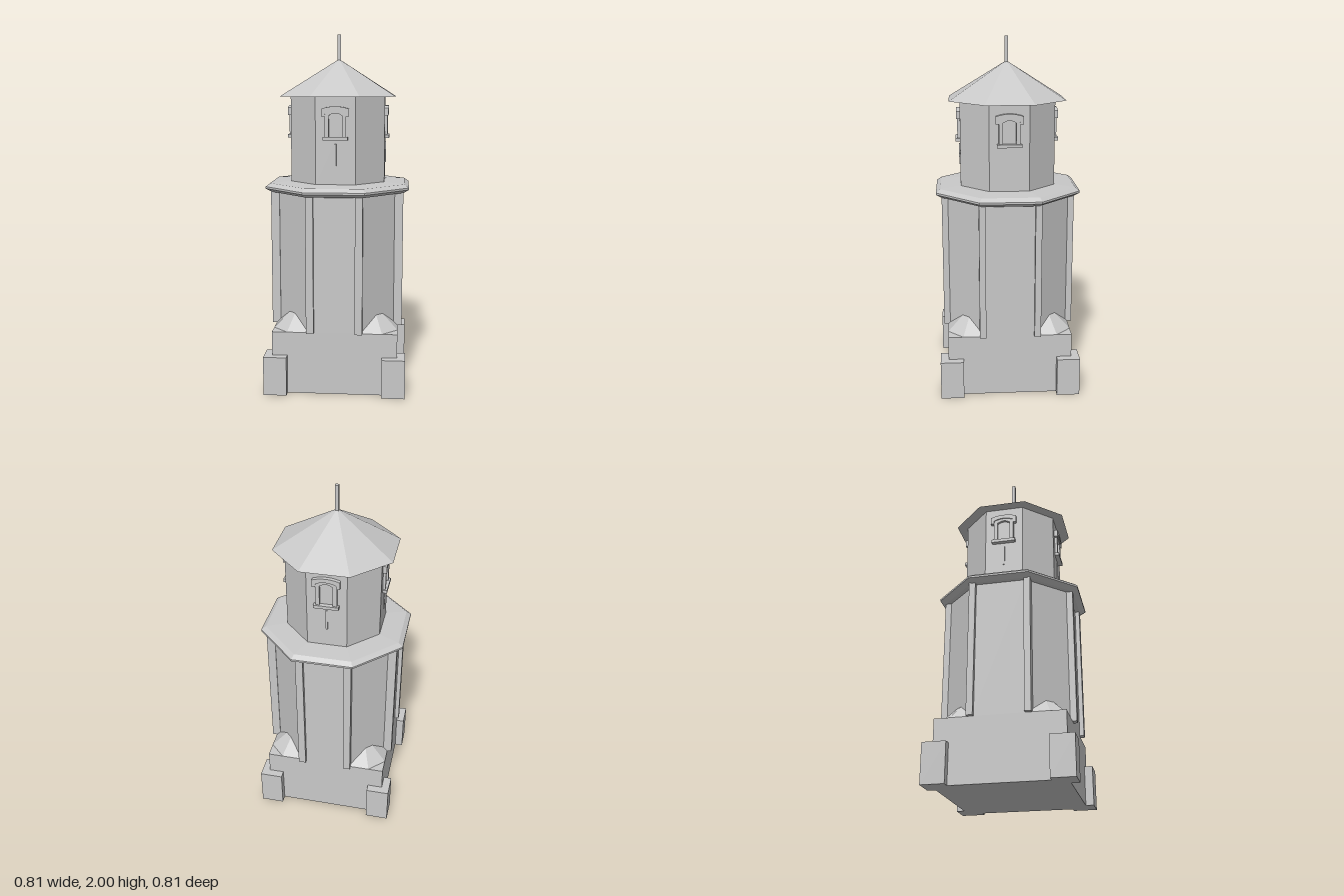
import * as THREE from 'three';
import { ConvexGeometry } from 'three/addons/geometries/ConvexGeometry.js';

const stone = new THREE.MeshStandardMaterial({ color: 0xc8c8c8 });
stone.name = 'stone';

function add(parent, name, geometry) {
  // split vertices so every facet is flat
  const g = geometry.index ? geometry.toNonIndexed() : geometry;
  g.computeVertexNormals();
  const mesh = new THREE.Mesh(g, stone);
  mesh.name = name;
  parent.add(mesh);
  return mesh;
}

// box from its minimum and maximum corners
function box(parent, name, a, b) {
  const g = new THREE.BoxGeometry(b[0] - a[0], b[1] - a[1], b[2] - a[2]);
  g.translate((a[0] + b[0]) / 2, (a[1] + b[1]) / 2, (a[2] + b[2]) / 2);
  return add(parent, name, g);
}

// eight-sided prism or cone with faces square to the axes
const corner = (apothem) => apothem / Math.cos(Math.PI / 8);
function octagon(parent, name, top, bottom, y0, y1) {
  const g = new THREE.CylinderGeometry(corner(top), corner(bottom), y1 - y0, 8, 1, false, Math.PI / 8);
  g.translate(0, (y0 + y1) / 2, 0);
  return add(parent, name, g);
}

function extrude(parent, name, shape, z, depth) {
  const g = new THREE.ExtrudeGeometry(shape, { depth, bevelEnabled: false, curveSegments: 6 });
  g.translate(0, 0, z);
  return add(parent, name, g);
}

// upright panel with a shallow arched head
function arched(path, w, y0, y1, rise) {
  path.moveTo(-w, y0);
  path.lineTo(w, y0);
  path.lineTo(w, y1);
  path.quadraticCurveTo(0, y1 + 2 * rise, -w, y1);
  path.lineTo(-w, y0);
  return path;
}

function makeWindow() {
  const group = new THREE.Group();
  group.name = 'window';
  const wall = 0.262;
  // jambs and head around the opening
  const frame = arched(new THREE.Shape(), 0.058, 1.43, 1.57, 0.015);
  frame.holes.push(arched(new THREE.Path(), 0.036, 1.44, 1.555, 0.013));
  extrude(group, 'windowFrame', frame, wall, 0.018);
  // arched hood
  const hood = new THREE.Shape();
  hood.moveTo(-0.075, 1.55);
  hood.lineTo(-0.058, 1.55);
  hood.lineTo(-0.055, 1.57);
  hood.quadraticCurveTo(0, 1.595, 0.055, 1.57);
  hood.lineTo(0.058, 1.55);
  hood.lineTo(0.075, 1.55);
  hood.lineTo(0.075, 1.592);
  hood.quadraticCurveTo(0, 1.618, -0.075, 1.592);
  extrude(group, 'windowHood', hood, wall, 0.024);
  box(group, 'windowSill', [-0.068, 1.422, wall], [0.068, 1.44, 0.29]);
  // narrow slit below
  box(group, 'slit', [-0.005, 1.28, wall], [0.005, 1.4, 0.271]);
  return group;
}

export function createModel() {
  const model = new THREE.Group();
  model.name = 'tower';

  // square base
  box(model, 'base', [-0.35, 0, -0.35], [0.35, 0.355, 0.35]);

  // corner blocks and sloped corner caps
  const cap = [
    [0.145, 0.355, 0.35], [0.265, 0.355, 0.35], [0.35, 0.355, 0.265], [0.35, 0.355, 0.145],
    [0.23, 0.44, 0.265], [0.265, 0.44, 0.23],
  ].map((p) => new THREE.Vector3(...p));
  for (let i = 0; i < 4; i++) {
    const group = new THREE.Group();
    group.name = 'baseCorner';
    group.rotation.y = (i * Math.PI) / 2;
    box(group, 'cornerBlock', [0.265, 0, 0.265], [0.395, 0.22, 0.395]);
    add(group, 'cornerCap', new ConvexGeometry(cap));
    model.add(group);
  }

  // main shaft with a pilaster at each corner
  octagon(model, 'shaft', 0.35, 0.35, 0.355, 1.13);
  for (const s of [-1, 1]) {
    for (const t of [-1, 1]) {
      const x = s * 0.135, z = t * 0.352;
      box(model, 'pilaster', [x - 0.021, 0.355, z - 0.022], [x + 0.021, 1.125, z + 0.022]);
      const px = s * 0.35, pz = t * 0.154;
      box(model, 'pilaster', [px - 0.024, 0.355, pz - 0.018], [px + 0.024, 1.125, pz + 0.018]);
    }
  }

  // gallery ledge
  const ledge = [[0, 1.12], [0.375, 1.12], [0.405, 1.139], [0.405, 1.15], [0.38, 1.169], [0.25, 1.178], [0, 1.178]]
    .map(([r, y]) => new THREE.Vector2(corner(r), y));
  add(model, 'galleryLedge', new THREE.LatheGeometry(ledge, 8, Math.PI / 8));

  // upper room, roof and finial
  octagon(model, 'upperRoom', 0.265, 0.265, 1.17, 1.655);
  octagon(model, 'roof', 0, 0.325, 1.655, 1.865);
  box(model, 'finial', [-0.01, 1.84, -0.01], [0.01, 2, 0.01]);

  // one window on each main side
  for (let i = 0; i < 4; i++) {
    const w = makeWindow();
    w.rotation.y = (i * Math.PI) / 2;
    model.add(w);
  }
  return model;
}
